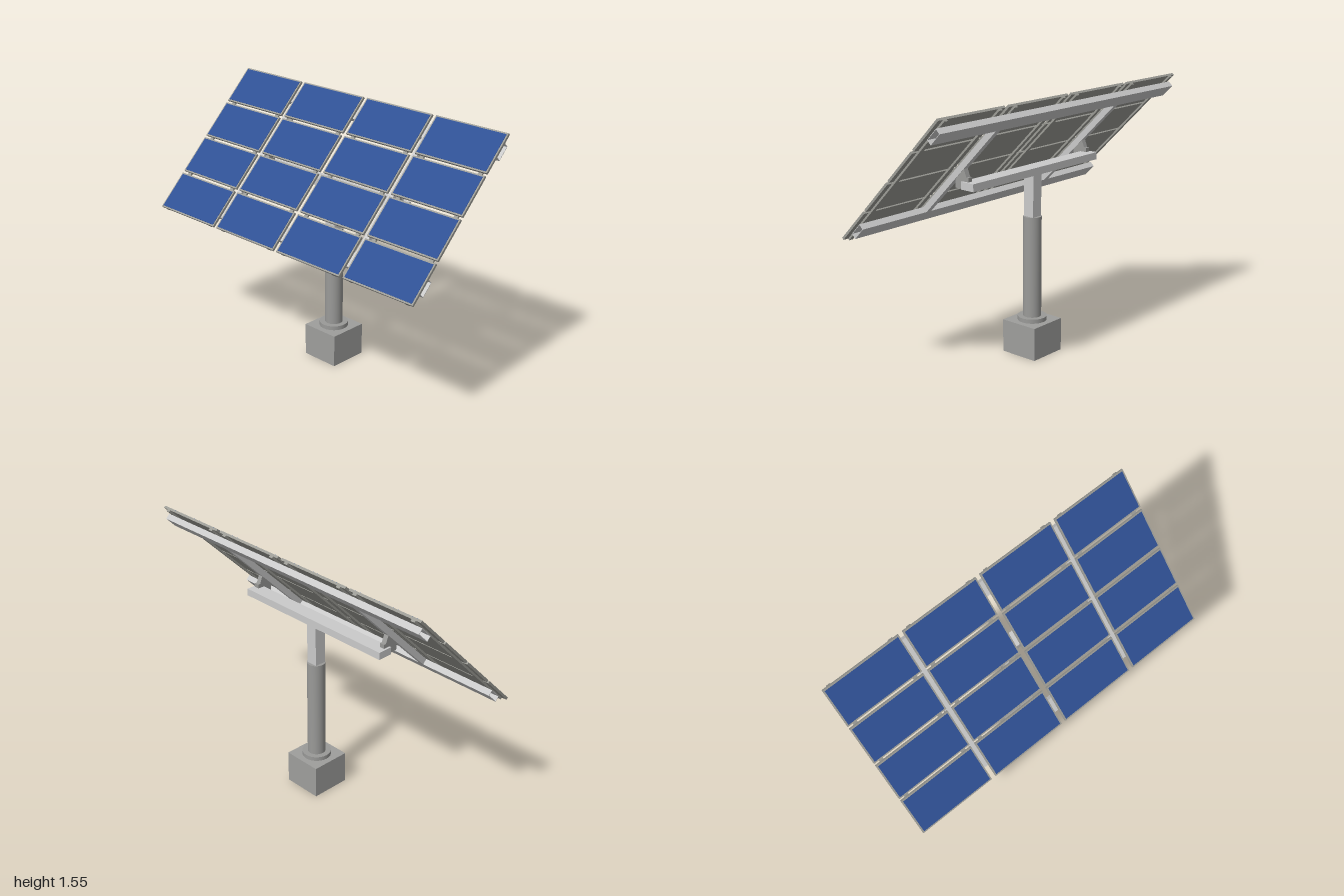
import * as THREE from 'three';

const mat = (name, color, extra = {}) => {
  const m = new THREE.MeshStandardMaterial({ color, ...extra });
  m.name = name;
  return m;
};

export function createModel() {
  const concrete = mat('concrete grey', 0x9e9e9c);
  const steel = mat('dark steel', 0x9a9a98);
  const aluminium = mat('light aluminium', 0xcacaca);
  const frameGrey = mat('frame grey', 0x9c9c96);
  const cellBlue = mat('cell blue', 0x2f5094);

  const model = new THREE.Group();
  model.name = 'solarArray';

  const add = (parent, name, geo, material, x = 0, y = 0, z = 0) => {
    const mesh = new THREE.Mesh(geo, material);
    mesh.name = name;
    mesh.position.set(x, y, z);
    parent.add(mesh);
    return mesh;
  };
  const box = (w, h, d) => new THREE.BoxGeometry(w, h, d);

  // Thin-walled rectangular tube along z, open at both ends
  const tube = (w, h, length, wall = 0.003) => {
    const rect = (Path, a, b) => new Path().moveTo(-a, -b).lineTo(a, -b).lineTo(a, b).lineTo(-a, b).closePath();
    const shape = rect(THREE.Shape, w / 2, h / 2);
    shape.holes.push(rect(THREE.Path, w / 2 - wall, h / 2 - wall));
    return new THREE.ExtrudeGeometry(shape, { depth: length, bevelEnabled: false }).translate(0, 0, -length / 2);
  };

  // Foundation and mast
  const mastZ = -0.105;
  add(model, 'foundationBlock', box(0.24, 0.196, 0.24), concrete, 0, 0.098, mastZ);
  add(model, 'baseFlange', new THREE.CylinderGeometry(0.085, 0.085, 0.025, 40), steel, 0, 0.2085, mastZ);
  add(model, 'lowerMast', new THREE.CylinderGeometry(0.053, 0.053, 0.6, 40), steel, 0, 0.521, mastZ);
  add(model, 'upperMast', box(0.07, 0.25, 0.07), aluminium, 0, 0.945, mastZ);
  add(model, 'crossBeam', box(1.07, 0.043, 0.09), aluminium, 0, 1.089, mastZ);

  // Gussets joining the beam ends to the sloping rails, profile in (z, y)
  const gusset = new THREE.Shape([
    [-0.1, 1.068], [-0.006, 1.068], [-0.006, 1.125],
    [-0.068, 1.185], [-0.088, 1.135], [-0.103, 1.135],
  ].map(([z, y]) => new THREE.Vector2(z, y)));
  const gussetGeo = new THREE.ExtrudeGeometry(gusset, { depth: 0.03, bevelEnabled: false })
    .translate(0, 0, -0.015).rotateY(-Math.PI / 2);
  for (const s of [-1, 1]) add(model, s > 0 ? 'leftGusset' : 'rightGusset', gussetGeo, steel, s * 0.507);

  // Tilted table: local y = 0 is the panel surface, local z runs down the slope
  const table = new THREE.Group();
  table.name = 'tiltedTable';
  table.position.set(0, 1.186, 0.009);
  table.rotation.x = Math.PI / 4;
  model.add(table);

  // Hollow purlins across the full width and two rails between them
  const purlinGeo = tube(0.09, 0.035, 1.98).rotateY(Math.PI / 2);
  add(table, 'upperPurlin', purlinGeo, aluminium, 0, -0.0435, -0.425);
  add(table, 'lowerPurlin', purlinGeo, aluminium, 0, -0.0435, 0.4);
  for (const s of [-1, 1]) {
    add(table, s > 0 ? 'leftRail' : 'rightRail', box(0.035, 0.035, 0.735), aluminium, s * 0.507, -0.0435, -0.0125);
  }

  // Panels in four columns and four rows, on slim battens
  const panelW = 0.48, panelD = 0.247, pitchX = 0.5067, pitchZ = 0.263;
  const frameGeo = box(panelW, 0.014, panelD);
  const cellGeo = box(panelW - 0.018, 0.002, panelD - 0.018);
  const battenGeo = box(0.026, 0.011, 1.036);
  for (let c = 0; c < 4; c++) {
    const x = (c - 1.5) * pitchX;
    for (const s of [-1, 1]) add(table, 'panelBatten', battenGeo, frameGrey, x + s * 0.195, -0.0205, 0);
    for (let r = 0; r < 4; r++) {
      const z = (r - 1.5) * pitchZ;
      add(table, 'panelFrame', frameGeo, frameGrey, x, -0.008, z);
      add(table, 'panelCells', cellGeo, cellBlue, x, -0.0002, z);
    }
  }

  return model;
}
